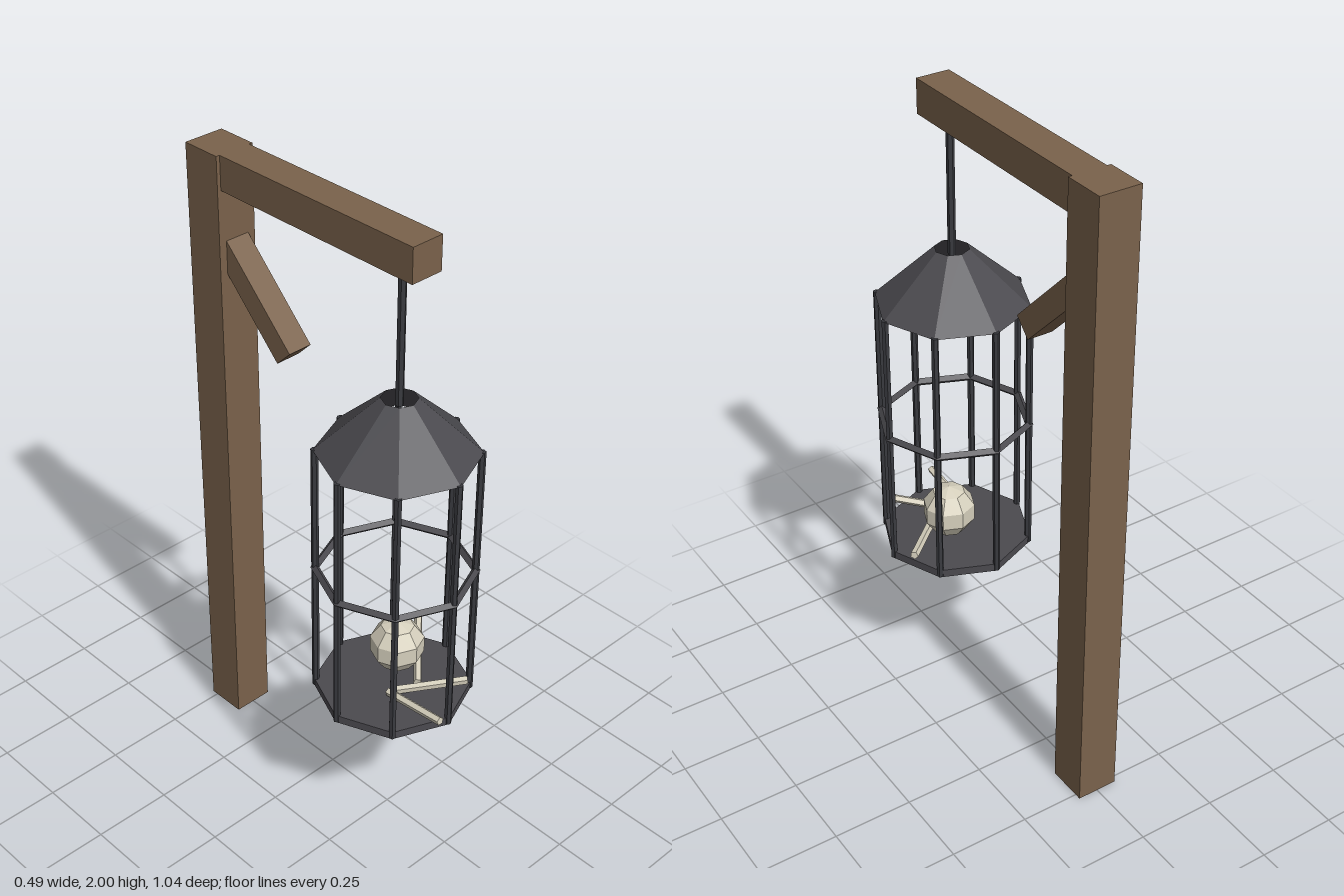
import * as THREE from 'three';

const mat = (name, color, extra = {}) => {
  const m = new THREE.MeshStandardMaterial({ color, flatShading: true, ...extra });
  m.name = name;
  return m;
};

export function createModel() {
  const wood = mat('wood', 0x7a624b);
  const iron = mat('iron', 0x4b4a4f, { side: THREE.DoubleSide });
  const darkIron = mat('darkIron', 0x3a3b40);
  const bone = mat('bone', 0xd6d0bd);

  const model = new THREE.Group();
  model.name = 'hangingCage';

  const add = (parent, name, geometry, material, x, y, z) => {
    const mesh = new THREE.Mesh(geometry, material);
    mesh.name = name;
    mesh.position.set(x, y, z);
    parent.add(mesh);
    return mesh;
  };

  // Timber gallows
  add(model, 'post', new THREE.BoxGeometry(0.13, 2, 0.13), wood, 0, 1, -0.455);
  add(model, 'beam', new THREE.BoxGeometry(0.106, 0.105, 0.745), wood, 0, 1.9475, -0.0275);
  const brace = add(model, 'brace', new THREE.BoxGeometry(0.08, 0.4, 0.074), wood, 0, 1.596, -0.301);
  brace.rotation.x = -Math.PI / 4;

  // Cage, eight-sided with corners on the axes
  const R = 0.235;
  const cage = new THREE.Group();
  cage.name = 'cage';
  cage.position.z = 0.26;
  model.add(cage);

  add(cage, 'hangingRod', new THREE.CylinderGeometry(0.012, 0.012, 0.42, 6), darkIron, 0, 1.69, 0);
  add(cage, 'roof', new THREE.CylinderGeometry(0.052, R, 0.172, 8, 1, true), iron, 0, 1.416, 0);
  add(cage, 'floor', new THREE.CylinderGeometry(R, R, 0.026, 8), iron, 0, 0.498, 0);
  const ring = add(cage, 'middleRing', new THREE.TorusGeometry(R - 0.005, 0.013, 4, 8), iron, 0, 0.927, 0);
  ring.rotation.x = Math.PI / 2;

  const barGeometry = new THREE.CylinderGeometry(0.011, 0.011, 0.845, 6);
  for (let i = 0; i < 8; i++) {
    const a = (i * Math.PI) / 4;
    const bar = add(cage, 'bar', barGeometry, darkIron, (R - 0.006) * Math.sin(a), 0.911, (R - 0.006) * Math.cos(a));
    bar.rotation.y = a;
  }

  // Remains on the cage floor
  add(model, 'skull', new THREE.SphereGeometry(0.085, 8, 5), bone, 0.042, 0.611, 0.235);
  const bones = [
    [[-0.067, 0.555, 0.52], [-0.062, 0.527, 0.305]],
    [[-0.04, 0.527, 0.315], [0.122, 0.555, 0.45]],
    [[0.03, 0.527, 0.335], [0.225, 0.562, 0.145]],
  ];
  for (const [p, q] of bones) {
    const a = new THREE.Vector3(...p), b = new THREE.Vector3(...q);
    const dir = b.clone().sub(a);
    const mid = a.clone().add(b).multiplyScalar(0.5);
    const mesh = add(model, 'looseBone', new THREE.CylinderGeometry(0.013, 0.013, dir.length(), 5), bone, mid.x, mid.y, mid.z);
    mesh.quaternion.setFromUnitVectors(new THREE.Vector3(0, 1, 0), dir.normalize());
  }

  return model;
}
